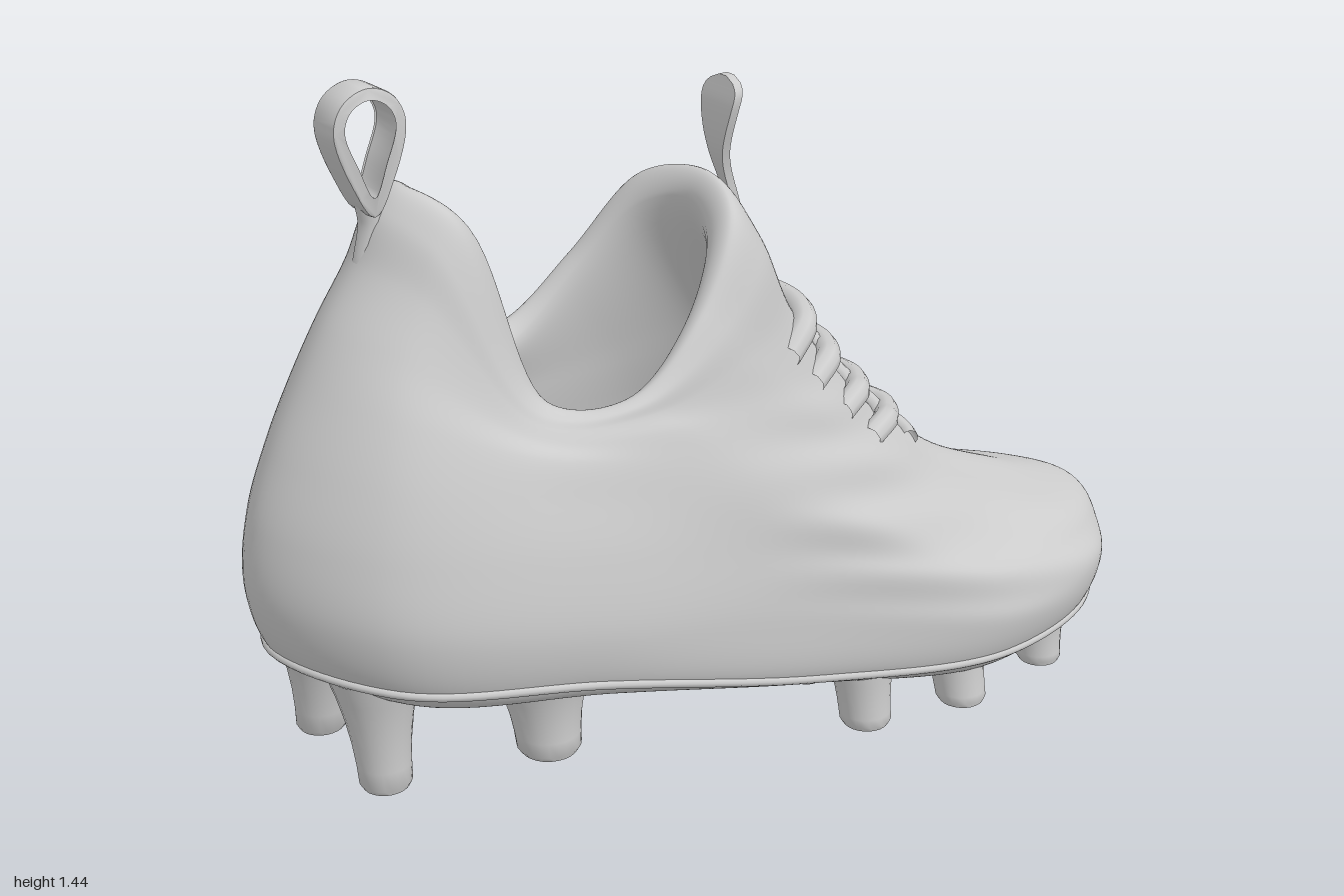
import * as THREE from 'three';
import { toCreasedNormals } from 'three/addons/utils/BufferGeometryUtils.js';

const V = (x, y, z) => new THREE.Vector3(x, y, z);
const { smoothstep, lerp } = THREE.MathUtils;
const material = new THREE.MeshStandardMaterial({ color: 0xcccccc, side: THREE.DoubleSide });

// Closed rings: back x, front x, heights at 7 stations from heel to toe, half widths at the 5 inner ones
const OUTER = [
  [-0.92, 0.92, [0.42, 0.385, 0.335, 0.19, 0.09, 0.08, 0.09], [0.20, 0.29, 0.28, 0.32, 0.20]],
  [-0.97, 0.965, [0.46, 0.435, 0.375, 0.225, 0.125, 0.105, 0.115], [0.225, 0.315, 0.33, 0.35, 0.225]],
  [-1.0, 1.0, [0.57, 0.55, 0.48, 0.36, 0.22, 0.20, 0.20], [0.24, 0.33, 0.345, 0.37, 0.235]],
  [-0.985, 0.97, [0.70, 0.68, 0.62, 0.50, 0.31, 0.275, 0.275], [0.23, 0.31, 0.335, 0.345, 0.20]],
  [-0.94, 0.78, [0.82, 0.80, 0.72, 0.62, 0.44, 0.365, 0.355], [0.21, 0.28, 0.32, 0.275, 0.13]],
  [-0.885, 0.52, [0.93, 0.91, 0.80, 0.73, 0.62, 0.51, 0.48], [0.18, 0.25, 0.295, 0.24, 0.11]],
  [-0.83, 0.30, [1.03, 1.00, 0.83, 0.80, 0.77, 0.70, 0.67], [0.15, 0.225, 0.275, 0.235, 0.12]],
  [-0.765, 0.12, [1.13, 1.09, 0.855, 0.835, 0.88, 0.90, 0.89], [0.13, 0.21, 0.255, 0.24, 0.15]],
  [-0.72, 0.03, [1.22, 1.17, 0.87, 0.855, 0.95, 1.05, 1.07], [0.12, 0.20, 0.245, 0.235, 0.165]],
  [-0.67, -0.04, [1.255, 1.215, 0.88, 0.86, 0.98, 1.13, 1.17], [0.105, 0.18, 0.22, 0.215, 0.15]],
];
const INNER = [
  [-0.615, -0.075, [1.20, 1.16, 0.85, 0.835, 0.95, 1.08, 1.12], [0.09, 0.155, 0.19, 0.18, 0.115]],
  [-0.72, 0.10, [0.85, 0.84, 0.76, 0.72, 0.74, 0.78, 0.78], [0.12, 0.18, 0.21, 0.18, 0.09]],
  [-0.85, 0.40, [0.55, 0.54, 0.50, 0.42, 0.40, 0.42, 0.42], [0.18, 0.22, 0.22, 0.20, 0.12]],
];

// A ring pulled in towards its spine, to close the sole and the insole
const shrink = ([xb, xf, y, z], fx, fz, dy) =>
  [xb * fx, xf * fx, y.map(v => v + dy), z.map(v => v * fz)];

const RINGS = [
  shrink(OUTER[0], 0.85, 0, -0.01), shrink(OUTER[0], 0.95, 0.6, -0.01),
  ...OUTER, ...INNER, shrink(INNER[2], 0.8, 0, -0.03),
];

const ringCurves = RINGS.map(([xb, xf, y, z], ring) => {
  const pts = [];
  const skew = 1 - smoothstep(ring, 6, 10);
  for (let i = 0; i < 12; i++) {
    const j = i <= 6 ? i : 12 - i;
    const x = xb + (xf - xb) * (1 - Math.cos(j * Math.PI / 6)) / 2;
    const w = j === 0 || j === 6 ? 0 : z[j - 1];
    // the foot curves inwards: the heel bulges left, the forefoot right
    const t = smoothstep(x, -0.6, 0.6);
    const side = i <= 6 ? lerp(1.02, 0.975, t) : -lerp(0.87, 1.005, t);
    pts.push(V(x, y[j], w * lerp(Math.sign(side), side, skew)));
  }
  return new THREE.CatmullRomCurve3(pts, true);
});
const column = u => new THREE.CatmullRomCurve3(ringCurves.map(c => c.getPoint(u)));
// Point of the boot surface: u runs round it (0 heel, 0.5 toe), k is the ring number
const surface = (u, k) => column(u).getPoint(k / (RINGS.length - 1));

function shellGeometry(nu = 144, nv = 150) {
  const pos = [], index = [];
  const columns = Array.from({ length: nu }, (_, i) => column(i / nu));
  for (let j = 0; j <= nv; j++) {
    const k = j / nv * (RINGS.length - 1);
    const band = smoothstep(k, 3.5, 5) * (1 - smoothstep(k, 7, 9));
    columns.forEach(c => {
      const p = c.getPoint(j / nv);
      // soft diagonal creases over the forefoot
      const fold = 0.004 * band * smoothstep(p.x, -0.2, 0.2) * Math.sin(60 * (p.y + 0.3 * p.x));
      pos.push(p.x, p.y + fold, p.z + fold * Math.sign(p.z) * Math.min(1, Math.abs(p.z) * 8));
    });
  }
  for (let j = 0; j < nv; j++) for (let i = 0; i < nu; i++) {
    const a = j * nu + i, b = j * nu + (i + 1) % nu;
    index.push(a, b, b + nu, a, b + nu, a + nu);
  }
  const g = new THREE.BufferGeometry();
  g.setAttribute('position', new THREE.Float32BufferAttribute(pos, 3));
  g.setIndex(index);
  g.computeVertexNormals();
  return g;
}

export function createModel() {
  const model = new THREE.Group();
  const add = (name, geometry, parent = model) => {
    const m = new THREE.Mesh(geometry, material);
    m.name = name;
    parent.add(m);
    return m;
  };
  const group = name => {
    const g = new THREE.Group();
    g.name = name;
    model.add(g);
    return g;
  };
  const tube = (pts, r, closed = false, n = 40) =>
    new THREE.TubeGeometry(new THREE.CatmullRomCurve3(pts, closed), n, r, 10, closed);

  add('upper', shellGeometry());

  // Slim lip where upper and sole meet
  add('soleEdge', tube(ringCurves[3].getPoints(72).slice(0, -1), 0.009, true, 160));

  // Laces: bars across the instep with narrow crossings between them
  const laces = group('laces');
  const rows = [7.55, 7.98, 8.47, 8.92], reach = 0.118;
  const onInstep = (du, k, lift) => surface(0.5 + du, k).add(V(lift, lift, 0));
  rows.forEach((k, i) => {
    const bar = [];
    for (let t = -1; t <= 1.001; t += 0.2)
      bar.push(onInstep(t * reach, k - 0.16 * t * t, Math.abs(t) > 0.95 ? -0.015 : 0.01));
    add('laceBar', tube(bar, 0.026), laces);
    const below = i ? rows[i - 1] : 7.15;
    for (const side of [-1, 1]) {
      const cross = [];
      for (let t = 0; t <= 1.001; t += 0.2)
        cross.push(onInstep(side * (1 - 2 * t) * reach * 0.5, lerp(below, k, t), 0.002));
      add('laceCross', tube(cross, 0.018), laces);
    }
  });

  // Studs: x, z, foot height, top height, foot radius, flare, sideways lean of the root
  const studs = group('studs');
  const stud = (x, z, y0, y1, r, flare, lean = 0) => {
    const h = y1 - y0;
    const profile = [[0, 0], [r * 0.88, 0], [r, 0.01]];
    for (let t = 0.2; t <= 1.001; t += 0.2) profile.push([r * (1 + (flare - 1) * t * t), h * t]);
    const g = new THREE.LatheGeometry(profile.map(([a, b]) => new THREE.Vector2(a, b)), 24);
    const p = g.attributes.position;
    for (let i = 0; i < p.count; i++) p.setZ(i, p.getZ(i) + lean * p.getY(i) / h);
    const m = add('stud', toCreasedNormals(g, 0.8), studs);
    m.position.set(x, y0, z);
  };
  for (const s of [-1, 1]) {
    stud(-0.83, s * 0.125, 0.2, 0.43, 0.048, 1.8, s * -0.02);
    stud(-0.53, s * 0.19 + 0.005, 0.2, 0.39, 0.06, 1.75, s * -0.025);
    stud(0.16, s * 0.28, 0.05, 0.18, 0.052, 1.25, s * -0.02);
    stud(0.41, s * 0.29, 0.02, 0.14, 0.052, 1.25, s * -0.03);
    stud(0.67, s * 0.25, 0.01, 0.12, 0.048, 1.35, s * -0.02);
    stud(0.83, s * 0.11, 0, 0.12, 0.044, 1.4);
    stud(0.42, s * 0.07, 0.035, 0.12, 0.032, 1.3);
    stud(0.15, s * 0.1, 0.07, 0.17, 0.04, 1.3);
  }

  // Heel pull loop: a teardrop band
  const drop = (r, low) => [[0, low], [-r * 0.55, low + 0.055], [-r, 0], [-r * 0.7, r * 0.7], [0, r],
    [r * 0.7, r * 0.7], [r, 0], [r * 0.55, low + 0.055]].map(([x, y]) => V(x, y, 0));
  const outline = (r, low) => new THREE.CatmullRomCurve3(drop(r, low), true).getPoints(48)
    .map(p => new THREE.Vector2(p.x, p.y));
  const loop = new THREE.Shape(outline(0.064, -0.15));
  loop.holes.push(new THREE.Path(outline(0.047, -0.12)));
  const loopGeometry = new THREE.ExtrudeGeometry(loop, {
    depth: 0.062, bevelEnabled: true, bevelSize: 0.004, bevelThickness: 0.006, bevelSegments: 2 });
  add('heelLoop', toCreasedNormals(loopGeometry, 0.7)).position.set(-0.735, 1.372, -0.031);
  add('heelLoopBase', tube([V(-0.732, 1.25, 0), V(-0.725, 1.2, 0), V(-0.74, 1.13, 0)], 0.024));

  // Tongue pull tab: a strip, narrow below, rounded above and gently bent
  const tab = new THREE.BoxGeometry(0.018, 1, 1, 1, 24, 8);
  const bend = new THREE.CatmullRomCurve3([V(0.06, 0.98, 0), V(0.03, 1.1, 0), V(0.0, 1.2, 0), V(0.002, 1.28, 0), V(0.018, 1.34, 0)]);
  const p = tab.attributes.position;
  for (let i = 0; i < p.count; i++) {
    const t = p.getY(i) + 0.5;
    const c = bend.getPoint(t);
    const tip = Math.sqrt(Math.max(0.05, 1 - Math.pow(Math.max(0, t - 0.85) / 0.15, 2)));
    const w = (0.012 + 0.038 * smoothstep(t, 0.3, 0.85)) * tip;
    p.setXYZ(i, c.x + p.getX(i), c.y, p.getZ(i) * 2 * w);
  }
  add('tonguePullTab', toCreasedNormals(tab, 0.7));

  return model;
}
